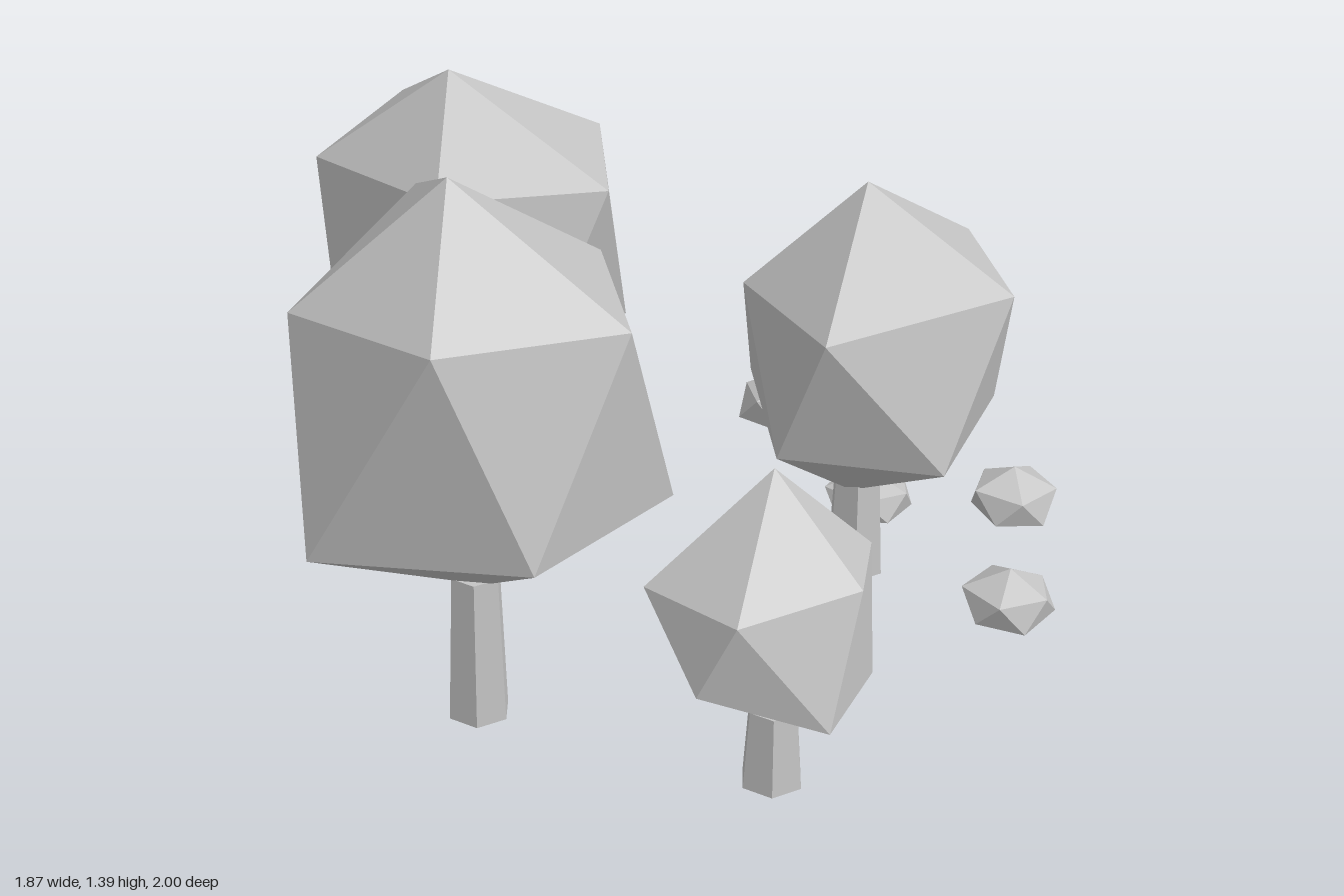
import * as THREE from 'three';

const stone = new THREE.MeshStandardMaterial({ color: 0xc4c4c4, flatShading: true });
stone.name = 'pale grey';

// Twenty-sided faceted solid: a top point, two staggered rings of five, a bottom point
function faceted(top, upper, lower, bottom) {
  const pos = [];
  const tri = (a, b, c) => pos.push(...a, ...b, ...c);
  for (let i = 0; i < 5; i++) {
    const j = (i + 1) % 5;
    tri(top, upper[j], upper[i]);
    tri(upper[i], upper[j], lower[i]);
    tri(lower[i], upper[j], lower[j]);
    tri(lower[i], lower[j], bottom);
  }
  const geo = new THREE.BufferGeometry();
  geo.setAttribute('position', new THREE.Float32BufferAttribute(pos, 3));
  geo.computeVertexNormals();
  return geo;
}

function addMesh(parent, name, geo) {
  const mesh = new THREE.Mesh(geo, stone);
  mesh.name = name;
  parent.add(mesh);
  return mesh;
}

// Tapered six-sided trunk under an uneven crown
function addTree(parent, name, [x, z, trunkTop], top, upper, lower, bottom) {
  const tree = new THREE.Group();
  tree.name = name;
  const base = 0.04;
  const trunk = addMesh(tree, 'trunk',
    new THREE.CylinderGeometry(0.06, 0.074, trunkTop - base, 6).rotateY(Math.PI / 6));
  trunk.position.set(x, (trunkTop + base) / 2, z);
  addMesh(tree, 'crown', faceted(top, upper, lower, bottom));
  parent.add(tree);
}

// Small flattened shrub with slightly uneven rings
function addShrub(parent, [x, y, z, halfHeight, yaw], seed) {
  let s = seed * 7919 + 17;
  const jitter = (amount) => {
    s = (s * 16807) % 2147483647;
    return ((s / 2147483647) * 2 - 1) * amount;
  };
  const ring = (side, offset) => Array.from({ length: 5 }, (_, i) => {
    const a = yaw + offset + (i * Math.PI * 2) / 5;
    const r = 0.106 + jitter(0.008);
    return [r * Math.cos(a), side * halfHeight * 0.42 + jitter(0.008), r * Math.sin(a)];
  });
  const geo = faceted([0, halfHeight, 0], ring(1, 0), ring(-1, Math.PI / 5), [0, -halfHeight, 0]);
  addMesh(parent, 'shrub', geo).position.set(x, y, z);
}

export function createModel() {
  const grove = new THREE.Group();
  grove.name = 'grove';

  addTree(grove, 'tallFrontTree', [-0.03, 0.62, 0.41],
    [-0.055, 1.39, 0.65],
    [[0.36, 1.11, 0.59], [0.1, 1.14, 0.95], [-0.33, 1.09, 0.86], [-0.385, 1.15, 0.3], [0.06, 1.07, 0.23]],
    [[0.285, 0.63, 0.86], [-0.21, 0.58, 0.995], [-0.49, 0.64, 0.64], [-0.2, 0.61, 0.22], [0.345, 0.61, 0.39]],
    [-0.02, 0.37, 0.6]);

  addTree(grove, 'backRightTree', [-0.56, -0.19, 0.37],
    [-0.6, 1.21, -0.15],
    [[-0.18, 0.98, -0.19], [-0.43, 1.03, 0.16], [-0.905, 0.96, -0.02], [-0.9, 1.0, -0.38], [-0.41, 0.97, -0.52]],
    [[-0.28, 0.55, 0], [-0.72, 0.5, 0.155], [-0.935, 0.51, -0.16], [-0.68, 0.53, -0.59], [-0.28, 0.52, -0.43]],
    [-0.58, 0.32, -0.19]);

  addTree(grove, 'backLeftTree', [0.41, -0.37, 0.31],
    [0.43, 1.1, -0.33],
    [[0.765, 0.85, -0.43], [0.47, 0.8, -0.07], [0.17, 0.82, -0.22], [0.19, 0.84, -0.55], [0.52, 0.85, -0.69]],
    [[0.71, 0.46, -0.22], [0.34, 0.46, -0.09], [0.1, 0.49, -0.39], [0.33, 0.53, -0.64], [0.67, 0.5, -0.56]],
    [0.41, 0.27, -0.34]);

  addTree(grove, 'smallTree', [0.67, 0.505, 0.235],
    [0.64, 0.81, 0.47],
    [[0.87, 0.59, 0.49], [0.71, 0.58, 0.745], [0.45, 0.57, 0.69], [0.45, 0.56, 0.39], [0.78, 0.57, 0.28]],
    [[0.87, 0.3, 0.62], [0.625, 0.39, 0.765], [0.51, 0.39, 0.5], [0.59, 0.31, 0.305], [0.87, 0.35, 0.43]],
    [0.67, 0.235, 0.5]);

  // x, y, z, half height, turn
  [
    [-0.8, 0.083, -0.1, 0.073, 0.2],
    [-0.09, 0.1, -0.9, 0.073, 0.5],
    [0.63, 0.085, -0.8, 0.085, 0.9],
    [0.32, 0.083, -0.62, 0.073, 0.0],
    [0.83, 0.09, -0.36, 0.083, 0.1],
  ].forEach((shrub, i) => addShrub(grove, shrub, i + 1));

  return grove;
}
